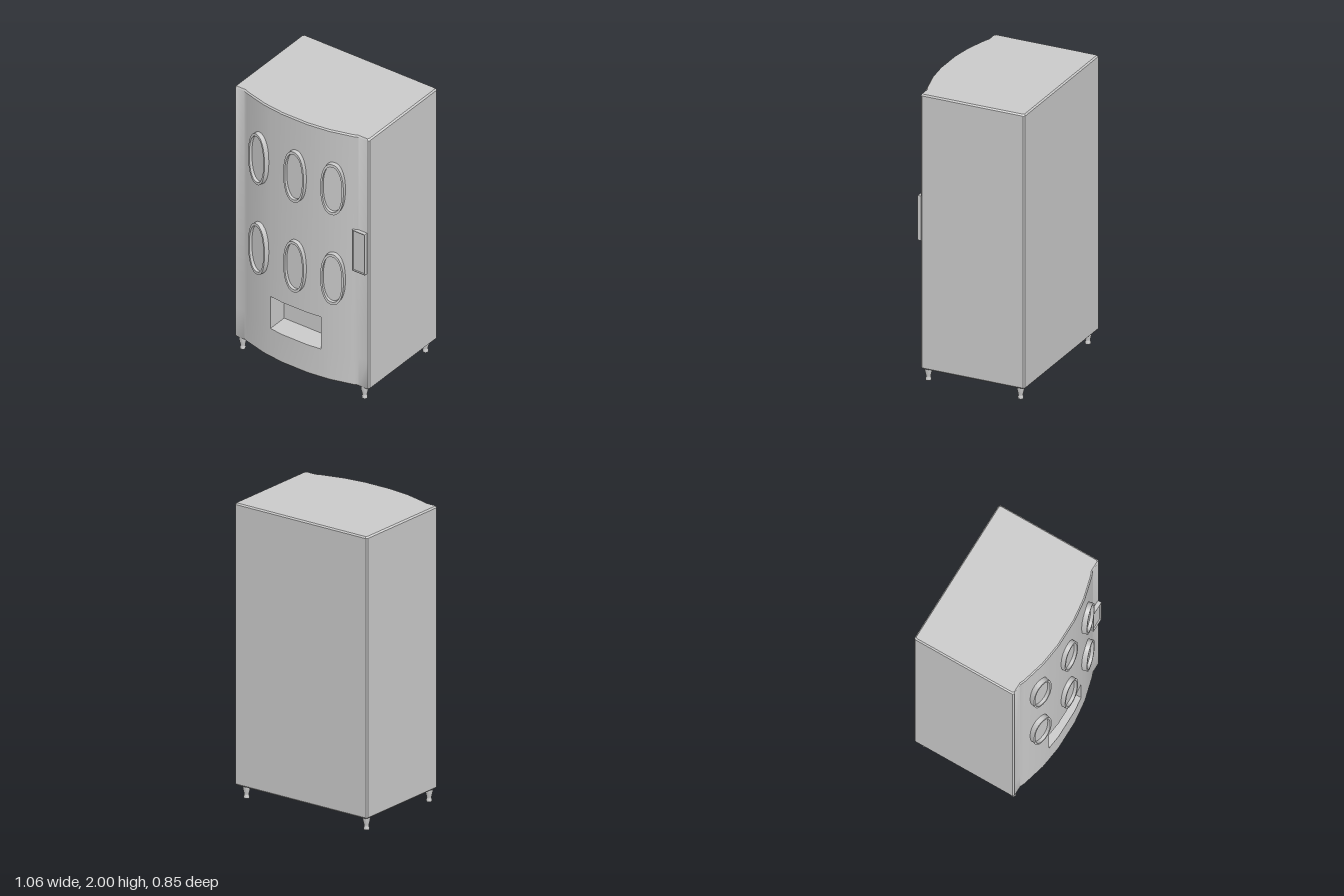
import * as THREE from 'three';
import { mergeGeometries, toCreasedNormals } from 'three/addons/utils/BufferGeometryUtils.js';

const material = new THREE.MeshStandardMaterial({ color: 0xcccccc });

function add(parent, geometry, name, x = 0, y = 0, z = 0) {
  const mesh = new THREE.Mesh(geometry, material);
  mesh.name = name;
  mesh.position.set(x, y, z);
  parent.add(mesh);
  return mesh;
}

// Plan outlines as [x, z]: bowed front from left to right, then round the back
const bow = [[-0.26, 0.37], [-0.2, 0.378], [-0.1, 0.39], [0.1, 0.39], [0.2, 0.378], [0.26, 0.37]];
const leftEnd = [[-0.53, 0.305], [-0.522, 0.315], [-0.45, 0.315], [-0.42, 0.328]];
const rightEnd = leftEnd.map(([x, z]) => [-x, z]).reverse();
const back = [[0.53, -0.415], [0.522, -0.425], [-0.522, -0.425], [-0.53, -0.415]];
const outline = [...leftEnd, ...bow, ...rightEnd, ...back];
const recessBack = [[-0.2, 0.23], [0.2, 0.23]];
const notched = [...leftEnd, bow[0], bow[1], ...recessBack, bow[4], bow[5], ...rightEnd, ...back];
const recess = [...bow.slice(1, 5), recessBack[1], recessBack[0]];
const inset = outline.map(([x, z]) => [x * 0.982, z * 0.98]);

// Upright band joining a lower outline to an upper one
function band(lower, y0, upper, y1) {
  const p = [];
  lower.forEach(([ax, az], i) => {
    const j = (i + 1) % lower.length;
    const [bx, bz] = lower[j], [cx, cz] = upper[j], [dx, dz] = upper[i];
    p.push(ax, y0, az, bx, y0, bz, cx, y1, cz, ax, y0, az, cx, y1, cz, dx, y1, dz);
  });
  const g = new THREE.BufferGeometry();
  g.setAttribute('position', new THREE.Float32BufferAttribute(p, 3));
  return g;
}

// Level face filling an outline, facing up (1) or down (-1)
function cap(points, y, facing) {
  const shape = new THREE.Shape(points.map(([x, z]) => new THREE.Vector2(x, -facing * z)));
  const g = new THREE.ShapeGeometry(shape).toNonIndexed();
  g.rotateX(-facing * Math.PI / 2).translate(0, y, 0);
  g.deleteAttribute('uv');
  g.deleteAttribute('normal');
  return g;
}

function oval(a, b) {
  const pts = [];
  for (let i = 0; i < 48; i++) {
    const t = (i / 48) * Math.PI * 2, c = Math.cos(t), s = Math.sin(t);
    pts.push(new THREE.Vector2(a * Math.sign(c) * Math.abs(c) ** 0.88, b * Math.sign(s) * Math.abs(s) ** 0.88));
  }
  return pts;
}

function rect(w, h) {
  return [[-w, -h], [w, -h], [w, h], [-w, h]].map(([x, y]) => new THREE.Vector2(x / 2, y / 2));
}

// Raised frame between two closed outlines
function frame(outer, inner, depth) {
  const shape = new THREE.Shape(outer);
  shape.holes.push(new THREE.Path(inner));
  return toCreasedNormals(new THREE.ExtrudeGeometry(shape, { depth, bevelEnabled: false }), 0.6);
}

export function createModel() {
  const model = new THREE.Group();
  model.name = 'vendingMachine';

  // Cabinet with chamfered top and bottom and a delivery recess
  const cabinet = mergeGeometries([
    cap(inset, 0.09, -1),
    band(inset, 0.09, outline, 0.1),
    band(outline, 0.1, outline, 0.31),
    band(notched, 0.31, notched, 0.555),
    band(outline, 0.555, outline, 1.99),
    band(outline, 1.99, inset, 2),
    cap(inset, 2, 1),
    cap(recess, 0.31, 1),
    cap(recess, 0.555, -1),
  ]);
  add(model, toCreasedNormals(cabinet, 0.6), 'cabinet');

  // Two rows of oval windows following the bowed front
  const rim = frame(oval(0.08, 0.192), oval(0.068, 0.172), 0.05);
  const pane = new THREE.ShapeGeometry(new THREE.Shape(oval(0.07, 0.174)));
  for (const y of [1.57, 0.885]) {
    for (const [x, z, turn] of [[-0.3, 0.393, -0.23], [0.012, 0.42, 0], [0.295, 0.393, 0.23]]) {
      const porthole = new THREE.Group();
      porthole.name = 'window';
      porthole.position.set(x, y, z);
      porthole.rotation.y = turn;
      add(porthole, rim, 'windowRim', 0, 0, -0.05);
      add(porthole, pane, 'windowPane', 0, 0, -0.022);
      model.add(porthole);
    }
  }

  // Shallow framed handle plate on the left edge
  const handle = new THREE.Group();
  handle.name = 'handle';
  handle.position.set(0.465, 1.13, 0.31);
  add(handle, frame(rect(0.1, 0.31), rect(0.088, 0.298), 0.031), 'handleRim');
  add(handle, new THREE.BoxGeometry(0.09, 0.3, 0.02), 'handlePlate', 0, 0, 0.011);
  model.add(handle);

  // Four tapered feet
  const profile = [[0, 0], [0.018, 0], [0.019, 0.012], [0.015, 0.022], [0.017, 0.035], [0.024, 0.065], [0.025, 0.095]];
  const foot = toCreasedNormals(new THREE.LatheGeometry(profile.map(([r, y]) => new THREE.Vector2(r, y)), 20), 0.6);
  for (const x of [-0.485, 0.475]) {
    for (const z of [0.285, -0.37]) add(model, foot, 'foot', x, 0, z);
  }

  return model;
}
